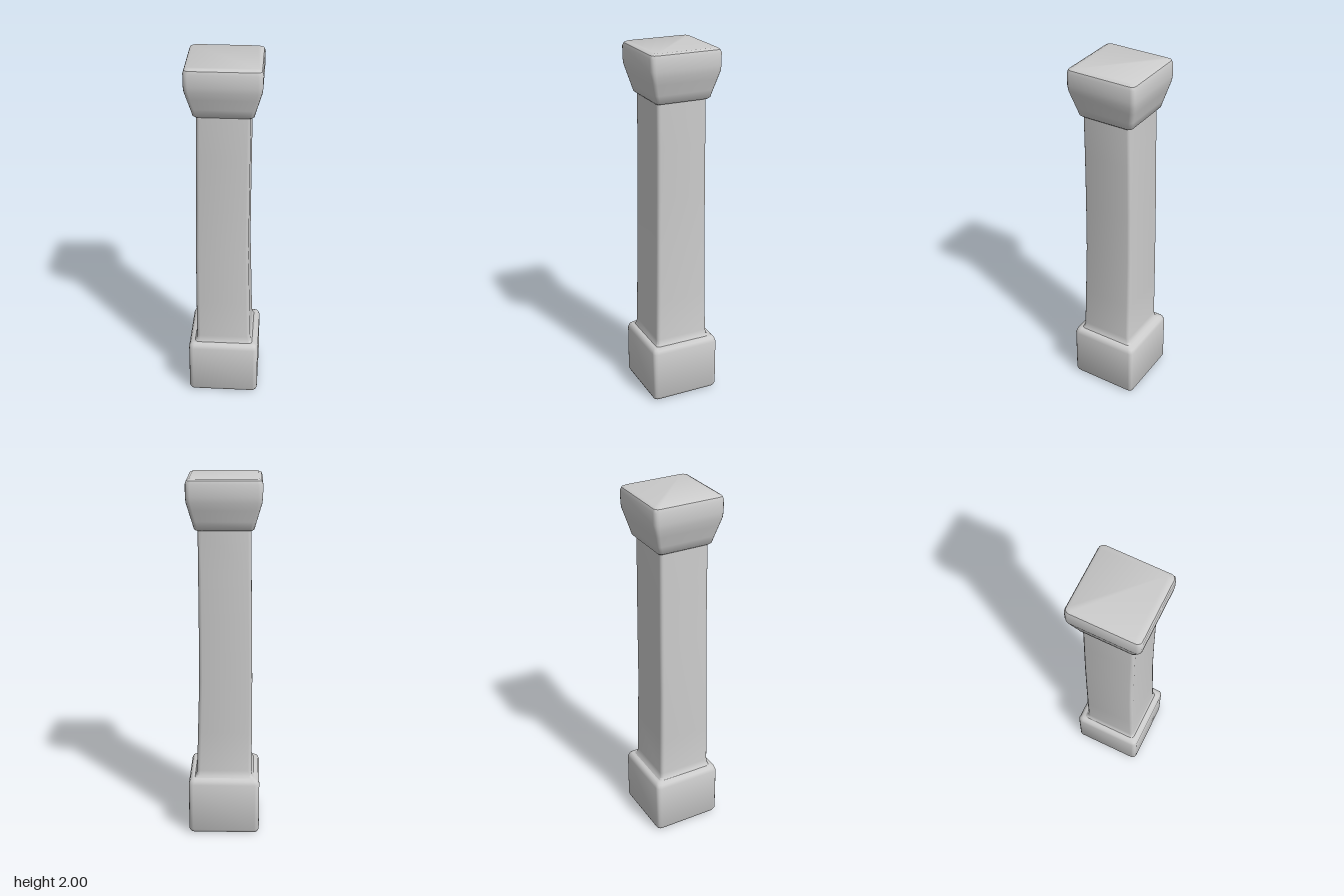
import * as THREE from 'three';
import { toCreasedNormals } from 'three/addons/utils/BufferGeometryUtils.js';

const ARC = 3; // segments per rounded corner

// Rounded-square outline around an offset centre
function ring([y, half, radius, dx = 0, dz = 0]) {
  const points = [];
  for (let corner = 0; corner < 4; corner++) {
    const mid = Math.PI / 4 + corner * Math.PI / 2;
    const cx = Math.sign(Math.cos(mid)) * (half - radius);
    const cz = Math.sign(Math.sin(mid)) * (half - radius);
    for (let i = 0; i <= ARC; i++) {
      const a = (corner + i / ARC) * Math.PI / 2;
      points.push([dx + cx + radius * Math.cos(a), y, dz + cz + radius * Math.sin(a)]);
    }
  }
  return points;
}

// Skin stacked outlines, listed from bottom to top, and close both ends
function loft(sections) {
  const rings = sections.map(ring);
  const n = rings[0].length;
  const position = rings.flat(2);
  const index = [];
  for (let r = 0; r < rings.length - 1; r++) {
    for (let i = 0; i < n; i++) {
      const j = (i + 1) % n;
      const a = r * n + i, b = r * n + j, c = a + n, d = b + n;
      index.push(a, c, d, a, d, b);
    }
  }
  const last = (rings.length - 1) * n;
  for (let i = 1; i < n - 1; i++) {
    index.push(0, i, i + 1);
    index.push(last, last + i + 1, last + i);
  }
  const geometry = new THREE.BufferGeometry();
  geometry.setAttribute('position', new THREE.Float32BufferAttribute(position, 3));
  geometry.setIndex(index);
  return toCreasedNormals(geometry, 0.7);
}

export function createModel() {
  const group = new THREE.Group();
  group.name = 'pillar';
  const stone = new THREE.MeshStandardMaterial({ color: 0xcccccc });
  stone.name = 'grey stone';

  // Sections: height, half width, corner radius, x offset, z offset
  const parts = {
    // Block with softened edges
    base: [
      [0, 0.178, 0.02], [0.006, 0.19, 0.022], [0.022, 0.198, 0.025],
      [0.3, 0.198, 0.025], [0.32, 0.191, 0.025], [0.33, 0.178, 0.02],
    ],
    // Slightly tapering, uneven shaft with a small flare at the foot
    shaft: [
      [0.325, 0.168, 0.02], [0.34, 0.157, 0.02, 0, 0.003], [0.37, 0.153, 0.02, 0, 0.004],
      [0.6, 0.15, 0.02, -0.004, 0.002], [0.9, 0.145, 0.018, -0.008, 0],
      [1.2, 0.143, 0.018, -0.006, -0.001], [1.5, 0.141, 0.018, -0.003, 0],
      [1.75, 0.14, 0.018, -0.001, 0.002],
    ],
    // Flared head with a softened top
    capital: [
      [1.73, 0.148, 0.018], [1.738, 0.157, 0.02], [1.78, 0.168, 0.02],
      [1.84, 0.185, 0.022], [1.88, 0.196, 0.024], [1.91, 0.199, 0.025],
      [1.975, 0.199, 0.025], [1.992, 0.193, 0.024], [2, 0.178, 0.02],
    ],
  };
  for (const [name, sections] of Object.entries(parts)) {
    const mesh = new THREE.Mesh(loft(sections), stone);
    mesh.name = name;
    group.add(mesh);
  }
  return group;
}
